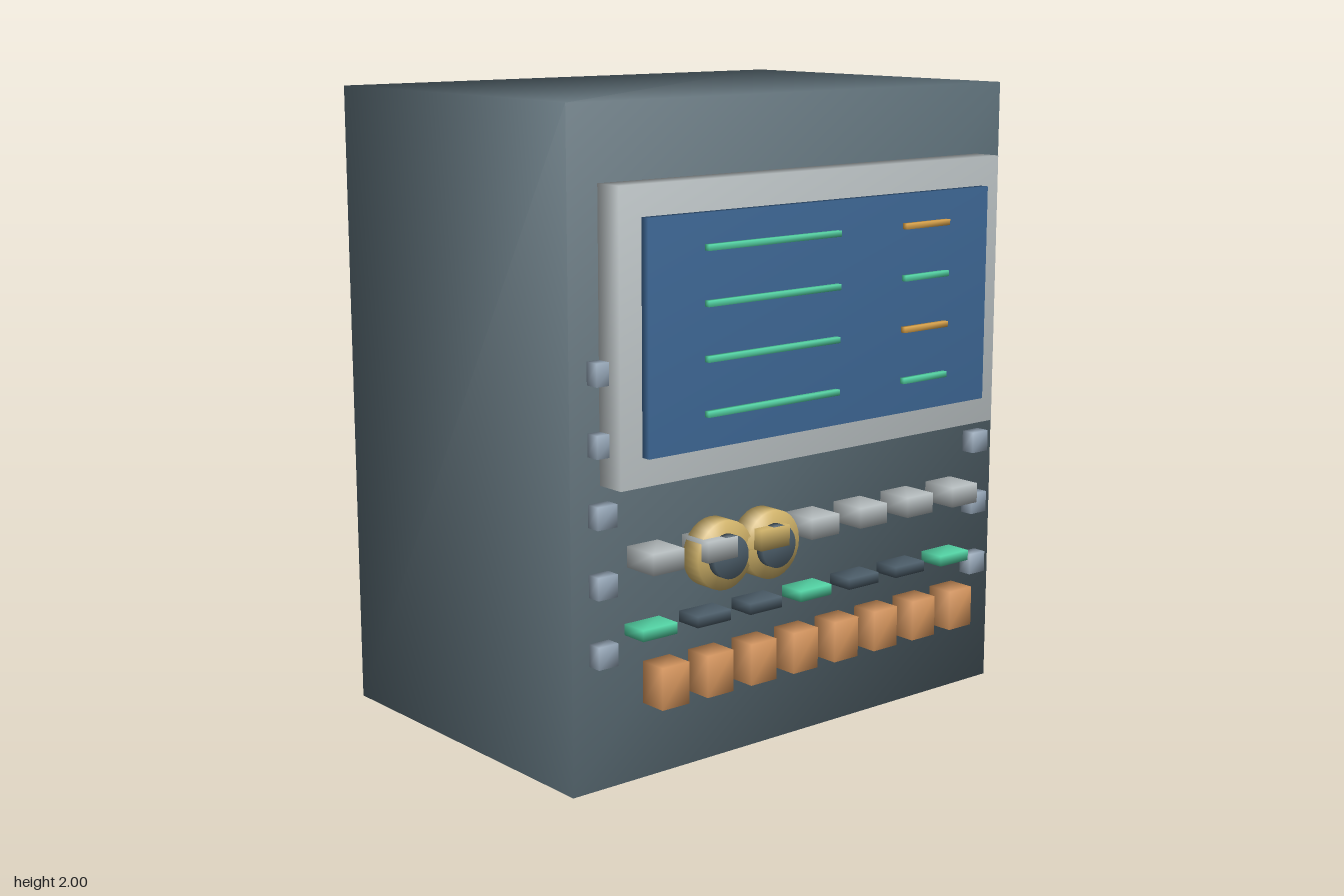
import * as THREE from 'three';
import { mergeVertices } from 'three/addons/utils/BufferGeometryUtils.js';

const material = (name, color) => {
  const m = new THREE.MeshStandardMaterial({ color });
  m.name = name;
  return m;
};

// Welds shared corners so that normals blend across the edges.
function weld(geometry) {
  geometry.deleteAttribute('normal');
  geometry.deleteAttribute('uv');
  const welded = mergeVertices(geometry, 1e-4);
  welded.computeVertexNormals();
  return welded;
}

export function createModel() {
  const model = new THREE.Group();
  model.name = 'controlConsole';

  const slate = material('slate housing', 0x5c6e77);
  const steel = material('light steel', 0xb8bfc1);
  const blue = material('screen blue', 0x3c6592);
  const green = material('signal green', 0x52d0a2);
  const amber = material('amber', 0xd6a04a);
  const brass = material('brass', 0xcdb068);
  const bolt = material('bolt blue grey', 0x93a4b5);
  const copper = material('copper key', 0xd9985f);
  const dark = material('dark slate', 0x4c5d69);

  const add = (name, geometry, mat, x, y, z) => {
    const mesh = new THREE.Mesh(weld(geometry), mat);
    mesh.name = name;
    mesh.position.set(x, y, z);
    model.add(mesh);
  };
  // Box placed by its x/y centre and its z range.
  const box = (name, mat, x, y, w, h, z0, z1) =>
    add(name, new THREE.BoxGeometry(w, h, z1 - z0), mat, x, y, (z0 + z1) / 2);
  // Disc facing the front, placed the same way.
  const disc = (name, mat, x, y, r, z0, z1) =>
    add(name, new THREE.CylinderGeometry(r, r, z1 - z0, 28).rotateX(Math.PI / 2), mat, x, y, (z0 + z1) / 2);

  // Cabinet, screen frame and screen
  box('cabinet', slate, 0, 1, 1.743, 2, -0.655, 0.506);
  box('screenFrame', steel, 0, 1.345, 1.53, 0.86, 0.506, 0.603);
  box('screen', blue, 0, 1.343, 1.374, 0.682, 0.603, 0.633);

  // Read-out lines on the screen
  for (let i = 0; i < 4; i++) {
    const y = 1.587 - i * 0.16;
    box('longReadout', green, -0.227, y, 0.516, 0.018, 0.637, 0.655);
    box('shortReadout', i % 2 ? green : amber, 0.4, y, 0.19, 0.018, 0.637, 0.655);
  }

  // Bolts down both sides
  for (const side of [-1, 1])
    for (let i = 0; i < 5; i++)
      box('bolt', bolt, side * 0.773, 0.419 + i * 0.2065, 0.07, 0.068, 0.506, 0.552);

  // Two dials, each a brass ring with a dark cap
  for (const x of [-0.375, -0.187]) {
    disc('dialRing', brass, x, 0.661, 0.106, 0.532, 0.602);
    disc('dialCap', dark, x, 0.661, 0.066, 0.602, 0.63);
  }

  // Row of push buttons and the row of lamps below
  for (let i = 0; i < 7; i++) {
    const x = (i - 3) * 0.2055;
    box('pushButton', i === 2 ? brass : steel, x, 0.691, 0.114, 0.064, 0.512, 0.634);
    box('lamp', i % 3 ? dark : green, x, 0.472, 0.128, 0.034, 0.508, 0.595);
  }

  // Row of copper keys
  for (let i = 0; i < 8; i++)
    box('key', copper, (i - 3.5) * 0.171, 0.317, 0.1, 0.128, 0.552, 0.643);

  return model;
}
